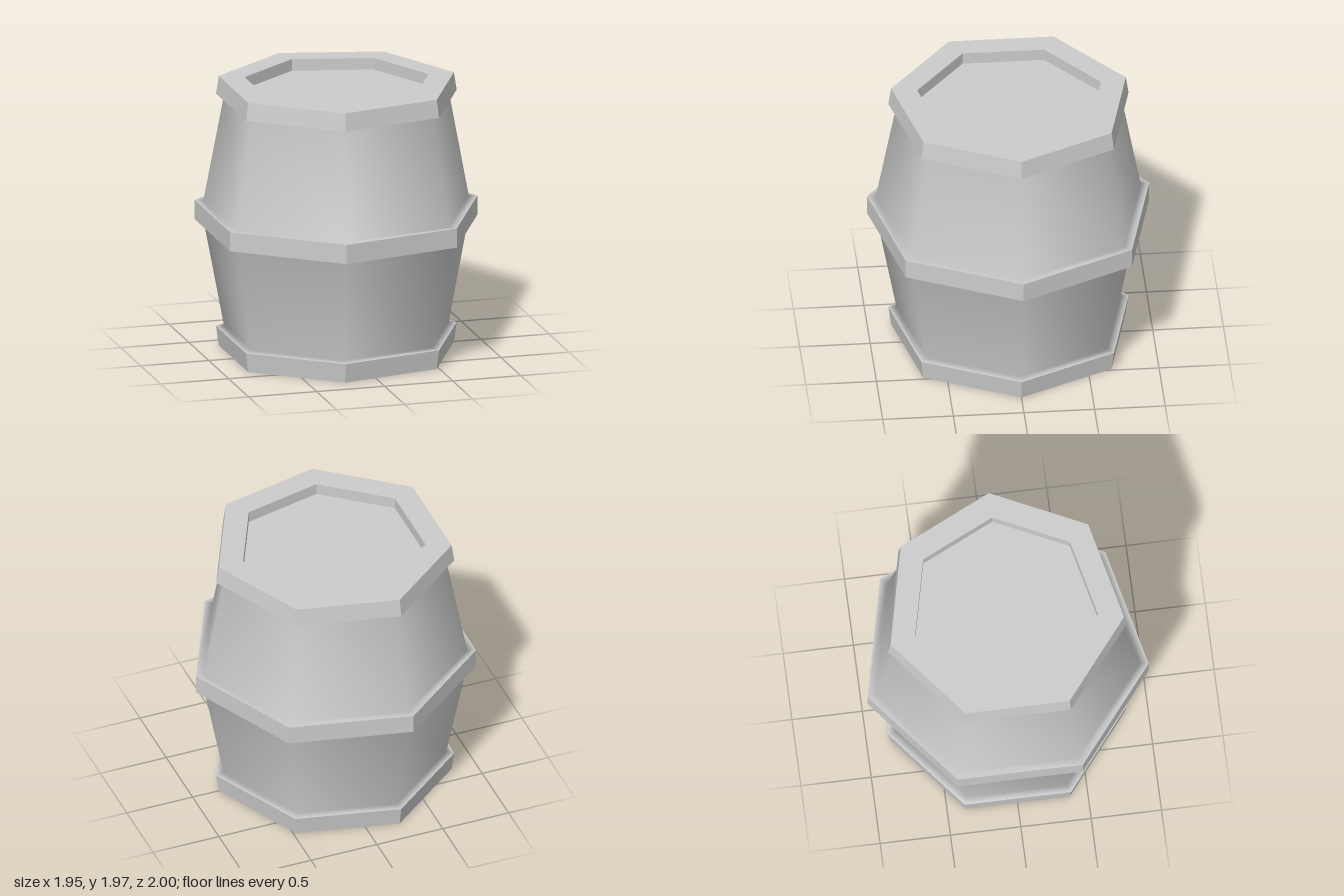
import * as THREE from 'three';

const SIDES = 7;

// Seven-sided turned part, one corner pointing to +x; profile runs bottom to top
function turned(name, profile, flat) {
  const points = profile.map(([r, y]) => new THREE.Vector2(r, y));
  const geometry = new THREE.LatheGeometry(points, SIDES, Math.PI / 2);
  const material = new THREE.MeshStandardMaterial({ color: 0xcccccc, flatShading: flat });
  const mesh = new THREE.Mesh(geometry, material);
  mesh.name = name;
  return mesh;
}

export function createModel() {
  const barrel = new THREE.Group();
  barrel.name = 'barrel';

  // Flat-faced hoops; the end hoops taper outwards from the barrel ends
  const bottomHoop = turned('bottomHoop', [[0, 0], [0.852, 0], [0.872, 0.14]], true);
  const middleHoop = turned('middleHoop', [[1.025, 0.915], [1.025, 1.055]], true);
  // Top hoop with the sunken lid
  const topHoop = turned('topHoopAndLid',
    [[0.872, 1.84], [0.852, 1.97], [0.667, 1.97], [0.667, 1.885], [0, 1.885]], true);

  // Softly shaded staves, blending into the ledges of the hoops
  const lowerStaves = turned('lowerStaves',
    [[0.872, 0.14], [0.815, 0.15], [0.962, 0.915], [1.025, 0.915]], false);
  const upperStaves = turned('upperStaves',
    [[1.025, 1.055], [0.962, 1.055], [0.815, 1.83], [0.872, 1.84]], false);

  barrel.add(bottomHoop, lowerStaves, middleHoop, upperStaves, topHoop);
  // Centre the odd-sided outline on x
  barrel.children.forEach((part) => { part.position.x = -0.051; });

  const model = new THREE.Group();
  model.add(barrel);
  return model;
}
